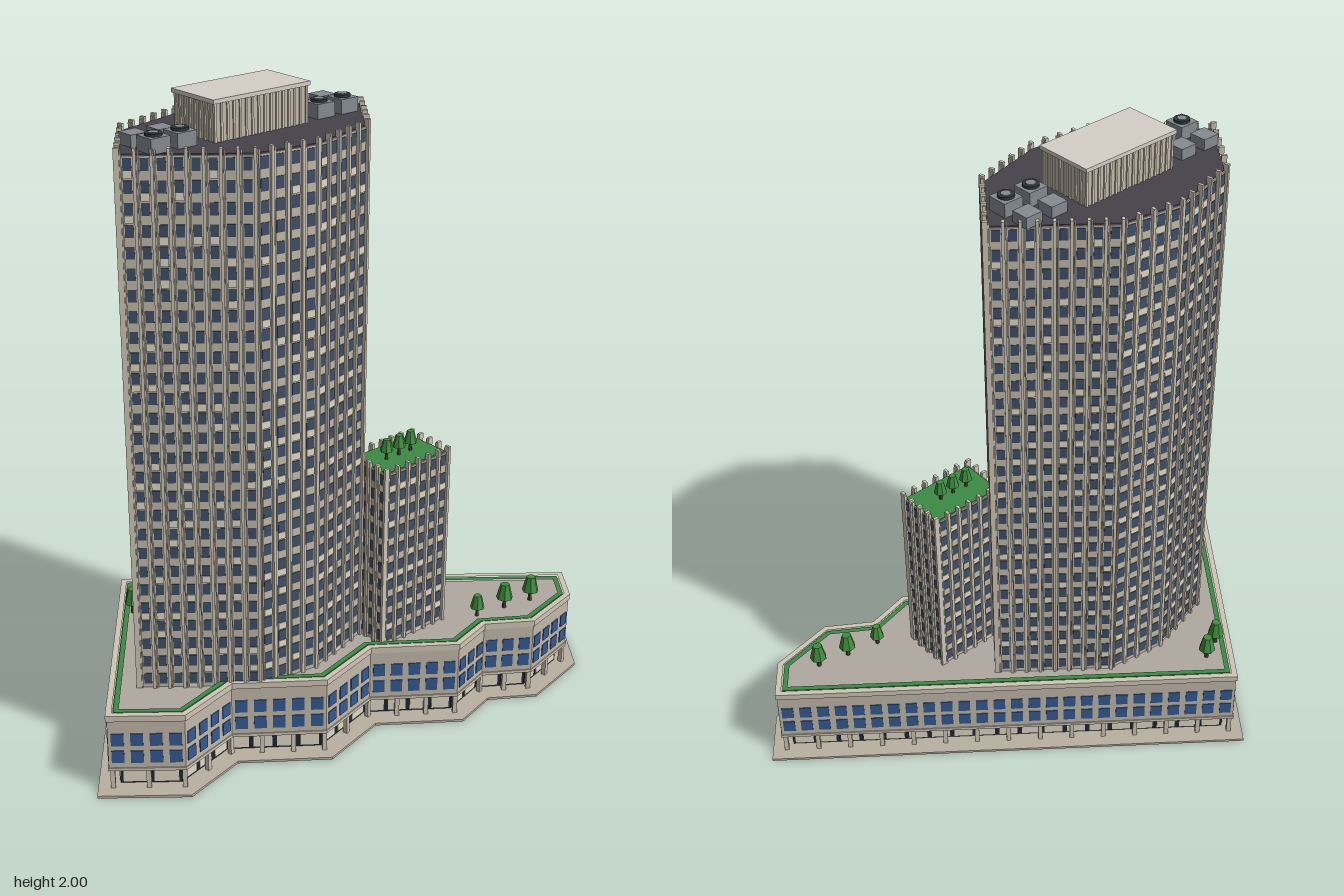
import * as THREE from 'three';
import { mergeGeometries } from 'three/addons/utils/BufferGeometryUtils.js';

const COLORS = {
  stone: 0xc2baa9, trim: 0xcfc7b6, cream: 0xe0d9c6, paving: 0xb9b09f, deck: 0xb0a9a0,
  roof: 0x45434a, glass: 0x3d4f68, blueGlass: 0x335a94, darkGlass: 0x1c2733,
  green: 0x3c8a45, leaf: 0x3f8f3f, bark: 0x5f4630, metal: 0x858b91, fan: 0x33373b, cap: 0xd6cfc6,
};
const mats = {};
for (const k in COLORS) mats[k] = new THREE.MeshStandardMaterial({ color: COLORS[k], flatShading: true });

// Small seeded random numbers
let seed = 7;
const rand = () => (seed = (seed * 16807) % 2147483647) / 2147483647;

const mesh = (geo, mat, name) => {
  const m = new THREE.Mesh(geo, mats[mat]);
  m.name = name;
  return m;
};

// Box with its centre at x, y, z and turned about the vertical
const box = (w, h, d, x, y, z, turn = 0) =>
  new THREE.BoxGeometry(w, h, d).rotateY(turn).translate(x, y, z);

// Edge length, direction and outward normal of an [x, z] outline
const edges = (pts) => pts.map((a, i) => {
  const b = pts[(i + 1) % pts.length];
  const len = Math.hypot(b[0] - a[0], b[1] - a[1]);
  const d = [(b[0] - a[0]) / len, (b[1] - a[1]) / len];
  return { a, len, d, n: [d[1], -d[0]], turn: Math.atan2(d[1], -d[0]) };
});

// Move all edges of an outline inwards by t
const inset = (pts, t) => {
  const es = edges(pts);
  return pts.map((p, i) => {
    const n1 = es[(i + pts.length - 1) % pts.length].n, n2 = es[i].n;
    const k = t / (1 + n1[0] * n2[0] + n1[1] * n2[1]);
    return [p[0] - (n1[0] + n2[0]) * k, p[1] - (n1[1] + n2[1]) * k];
  });
};

// Upright prism from an outline, with an optional hole
const prism = (pts, y0, y1, hole) => {
  const v = (l) => l.map(([x, z]) => new THREE.Vector2(x, -z));
  const shape = new THREE.Shape(v(pts));
  if (hole) shape.holes.push(new THREE.Path(v(hole)));
  return new THREE.ExtrudeGeometry(shape, { depth: y1 - y0, bevelEnabled: false })
    .rotateX(-Math.PI / 2).translate(0, y0, 0);
};

// Visit equal bays along every wall; put(w, h, d, y, along, out) makes a box on that bay
const bays = (pts, pitch, visit) => {
  for (const e of edges(pts)) {
    const n = Math.max(1, Math.round(e.len / pitch)), step = e.len / n;
    for (let i = 0; i < n; i++) {
      const put = (w, h, d, y, along = 0, out = 0) => {
        const s = (i + 0.5 + along) * step;
        return box(w, h, d, e.a[0] + e.d[0] * s + e.n[0] * out, y,
          e.a[1] + e.d[1] * s + e.n[1] * out, e.turn);
      };
      visit(put, step, i, n);
    }
  }
};

// Tall block: walls, window grid, light panels and fins
function tower(name, pts, y0, y1, floors, pitch, roofMat) {
  const g = new THREE.Group();
  g.name = name;
  const roofY = y1 - 0.018, rise = (roofY - y0) / floors;
  const windows = [], panels = [], fins = [];
  bays(pts, pitch, (put, step) => {
    fins.push(put(0.009, y1 - y0, 0.016, (y0 + y1) / 2, -0.5, 0.002));
    fins.push(put(0.004, y1 - y0 - 0.006, 0.010, (y0 + y1) / 2 - 0.003, 0.3, 0.001));
    for (let f = 0; f < floors; f++) {
      const y = y0 + (f + 0.55) * rise;
      windows.push(put(step * 0.52, rise * 0.58, 0.004, y, -0.06));
      if (rand() < 0.35) panels.push(put(step * 0.54, rise * 0.36, 0.008, y - rise * 0.45, -0.06));
    }
  });
  g.add(mesh(prism(pts, y0, roofY - 0.004), 'stone', name + 'Walls'));
  g.add(mesh(prism(inset(pts, 0.004), roofY - 0.004, roofY), roofMat, name + 'Roof'));
  g.add(mesh(mergeGeometries(windows), 'glass', name + 'Windows'));
  g.add(mesh(mergeGeometries(panels), 'cream', name + 'Panels'));
  g.add(mesh(mergeGeometries(fins), 'trim', name + 'Fins'));
  return g;
}

function tree(x, y, z, s = 1) {
  const g = new THREE.Group();
  g.name = 'tree';
  g.add(mesh(new THREE.CylinderGeometry(0.005, 0.007, 0.045, 6).translate(0, 0.0225, 0), 'bark', 'trunk'));
  g.add(mesh(new THREE.CylinderGeometry(0.014, 0.026, 0.048, 7).translate(0, 0.058, 0), 'leaf', 'crown'));
  g.position.set(x, y, z);
  g.scale.setScalar(s);
  return g;
}

export function createModel() {
  const model = new THREE.Group();
  model.name = 'highRise';

  const site = [[-0.84, -0.04], [-0.22, -0.63], [0.835, 0.48], [0.70, 0.61], [0.46, 0.62], [0.34, 0.515],
    [0.19, 0.527], [-0.01, 0.335], [-0.235, 0.35], [-0.44, 0.15], [-0.65, 0.163]];
  const podium = inset(site, 0.035), core = inset(podium, 0.03);

  // Pavement and recessed ground floor
  model.add(mesh(prism(site, 0, 0.008, core), 'paving', 'pavement'));
  model.add(mesh(prism(core, 0, 0.08), 'darkGlass', 'groundFloor'));
  const shopPanels = [], columns = [];
  bays(core, 0.075, (put, step) => shopPanels.push(put(step * 0.8, 0.046, 0.006, 0.037)));
  bays(inset(podium, 0.01), 0.1, (put) => columns.push(put(0.014, 0.07, 0.014, 0.043, -0.5)));
  model.add(mesh(mergeGeometries(shopPanels), 'cream', 'shopPanels'));
  model.add(mesh(mergeGeometries(columns), 'trim', 'columns'));

  // Podium with two window rows, parapet and hedge
  model.add(mesh(prism(podium, 0.076, 0.245), 'stone', 'podiumWalls'));
  model.add(mesh(prism(inset(podium, 0.014), 0.245, 0.248), 'deck', 'podiumDeck'));
  model.add(mesh(prism(inset(podium, -0.004), 0.245, 0.265, inset(podium, 0.014)), 'trim', 'parapet'));
  model.add(mesh(prism(inset(podium, -0.003), 0.073, 0.083, core), 'trim', 'podiumBand'));
  model.add(mesh(prism(inset(podium, 0.018), 0.246, 0.264, inset(podium, 0.034)), 'green', 'hedge'));
  const podiumWindows = [];
  bays(podium, 0.056, (put, step) => {
    for (const y of [0.122, 0.181]) podiumWindows.push(put(step * 0.66, 0.042, 0.005, y));
  });
  model.add(mesh(mergeGeometries(podiumWindows), 'blueGlass', 'podiumWindows'));

  // Main tower and lower annex
  model.add(tower('tower', [[-0.605, -0.093], [-0.425, -0.27], [-0.19, -0.295], [-0.005, -0.24],
    [0.243, 0.025], [0.062, 0.2], [-0.173, 0.225], [-0.358, 0.17]], 0.245, 1.9, 27, 0.046, 'roof'));
  model.add(tower('annex', [[0.085, 0.147], [0.328, 0.182], [0.307, 0.34], [0.058, 0.303]],
    0.245, 0.86, 10, 0.042, 'green'));

  // Ribbed plant room with overhanging cap
  const plant = new THREE.Group();
  plant.name = 'plantRoom';
  const hw = 0.16, hd = 0.085;
  const plan = [[-hw, -hd], [hw, -hd], [hw, hd], [-hw, hd]];
  const ribs = [];
  bays(plan, 0.022, (put) => ribs.push(put(0.007, 0.108, 0.008, 0.054, -0.5)));
  plant.add(mesh(prism(plan, 0, 0.108), 'stone', 'plantWalls'));
  plant.add(mesh(mergeGeometries(ribs), 'trim', 'plantRibs'));
  plant.add(mesh(box(0.34, 0.012, 0.185, 0, 0.112, 0), 'cap', 'plantCap'));
  plant.position.set(-0.182, 1.882, -0.045);
  plant.rotation.y = -0.13;
  model.add(plant);

  // Rooftop cooling units, the front ones with fans
  const unitSpots = [[-0.505, -0.135], [-0.417, -0.122], [-0.515, -0.047], [-0.428, -0.037],
    [0.065, -0.055], [0.152, -0.042], [0.053, 0.032], [0.14, 0.044]];
  unitSpots.forEach(([x, z], i) => {
    const unit = new THREE.Group(), fan = i % 4 > 1;
    unit.name = 'coolingUnit';
    const h = fan ? 0.042 : 0.034, w = fan ? 0.064 : 0.056;
    unit.add(mesh(box(w, h, w, 0, h / 2, 0), 'metal', 'unitBody'));
    if (fan) {
      unit.add(mesh(new THREE.CylinderGeometry(0.024, 0.024, 0.008, 14).translate(0, h + 0.004, 0), 'fan', 'fanRing'));
      unit.add(mesh(new THREE.CylinderGeometry(0.015, 0.015, 0.01, 10).translate(0, h + 0.005, 0), 'metal', 'fanHub'));
    }
    unit.position.set(x, 1.882, z);
    unit.rotation.y = -0.13;
    model.add(unit);
  });

  // Trees on the podium and the annex
  for (const [x, z, s] of [[0.4, 0.415, 0.9], [0.5, 0.45, 1.05], [0.595, 0.485, 1.05],
    [-0.32, -0.425, 1.05], [-0.245, -0.445, 1.05]]) model.add(tree(x, 0.248, z, s));
  for (const [x, z] of [[0.14, 0.235], [0.19, 0.243], [0.237, 0.25]]) model.add(tree(x, 0.842, z, 0.8));

  return model;
}
